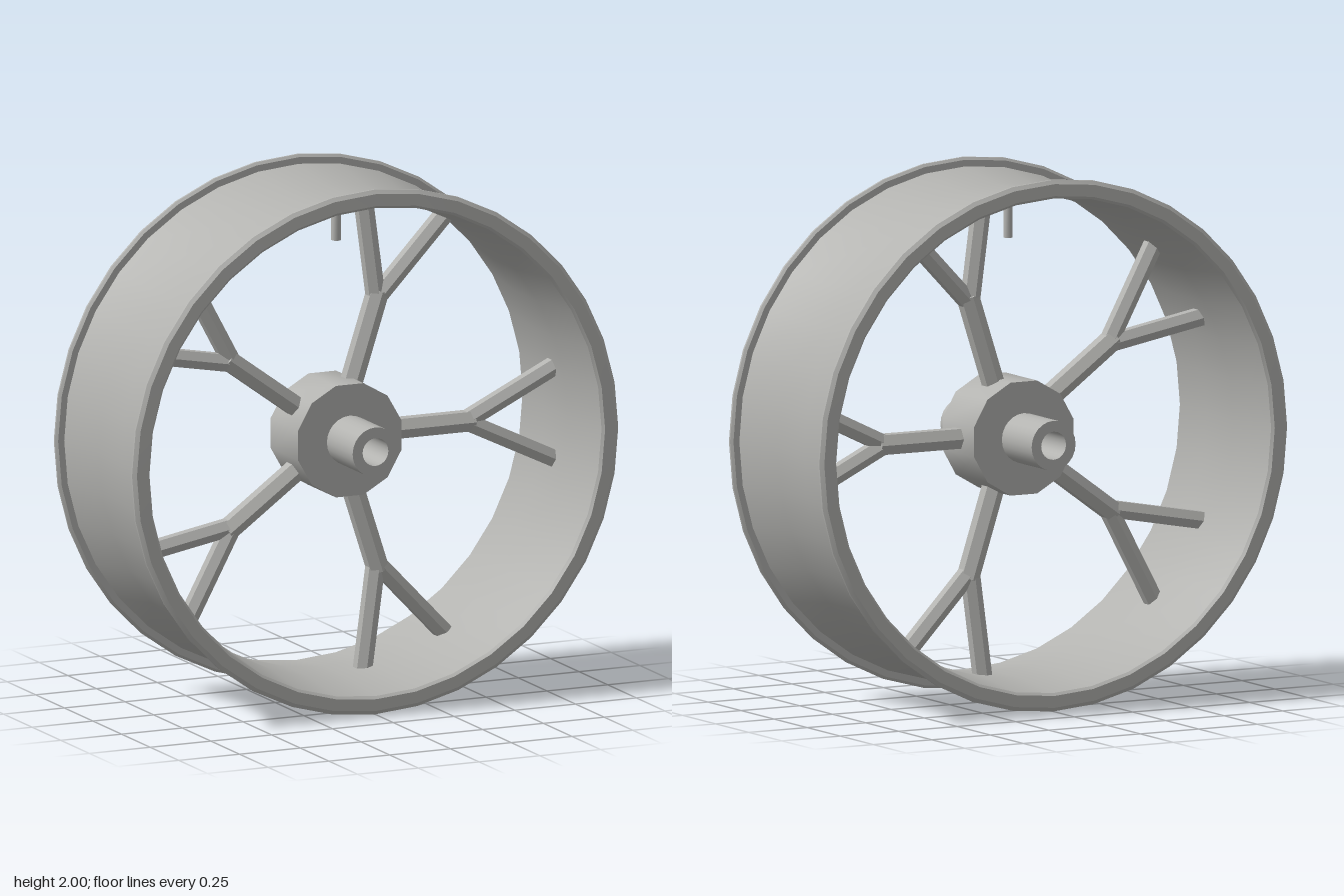
import * as THREE from 'three';
import { toCreasedNormals } from 'three/addons/utils/BufferGeometryUtils.js';

const metal = new THREE.MeshStandardMaterial({ color: 0xb3b3b0 });
metal.name = 'grey metal';

// Closed ring turned around the z axis from a counterclockwise (radius, z) profile
function ring(name, profile, sides, crease, start = 0) {
  const points = [...profile, profile[0]].map(([r, z]) => new THREE.Vector2(r, z));
  const geometry = new THREE.LatheGeometry(points, sides, start).rotateX(Math.PI / 2);
  const mesh = new THREE.Mesh(toCreasedNormals(geometry, crease), metal);
  mesh.name = name;
  return mesh;
}

// Straight bar between two points of the wheel plane, with an edge facing front
function bar(name, from, to, radius, sides) {
  const a = new THREE.Vector3(...from, 0);
  const b = new THREE.Vector3(...to, 0);
  const geometry = new THREE.CylinderGeometry(radius, radius, a.distanceTo(b), sides);
  const mesh = new THREE.Mesh(toCreasedNormals(geometry, 0.9), metal);
  mesh.position.copy(a).add(b).multiplyScalar(0.5);
  mesh.rotation.z = Math.atan2(b.y - a.y, b.x - a.x) - Math.PI / 2;
  mesh.name = name;
  return mesh;
}

export function createModel() {
  const model = new THREE.Group();
  model.name = 'wheel';
  const wheel = new THREE.Group();
  wheel.name = 'wheelBody';
  wheel.position.y = 1;
  model.add(wheel);

  // Rim: waisted barrel with a flange on each edge
  const outer = [[0.93, 0.1], [0.965, 0.325], [0.99, 0.325], [1, 0.333], [1, 0.342], [0.985, 0.353]];
  const inner = [[0.94, 0.355], [0.93, 0.345], [0.905, 0.1]];
  const half = [...outer, ...inner];
  const mirrored = half.map(([r, z]) => [r, -z]).reverse();
  wheel.add(ring('rim', [...half, ...mirrored], 36, 0.45));

  // Hub drum and hollow axle
  wheel.add(ring('hub', [[0.22, -0.12], [0.22, 0.12], [0.08, 0.12], [0.08, -0.12]], 12, 0.7, Math.PI / 12));
  wheel.add(ring('axle', [[0.094, -0.345], [0.094, 0.345], [0.053, 0.345], [0.053, -0.345]], 24, 0.7));

  // Five forked spokes
  const forkAngle = THREE.MathUtils.degToRad(11.2);
  for (let i = 0; i < 5; i++) {
    const spoke = new THREE.Group();
    spoke.name = 'spoke';
    spoke.rotation.z = (i * Math.PI * 2) / 5;
    spoke.add(bar('spokeStem', [0.17, 0], [0.56, 0], 0.043, 6));
    for (const side of [-1, 1]) {
      const tip = [0.917 * Math.cos(forkAngle), side * 0.917 * Math.sin(forkAngle)];
      spoke.add(bar('spokeBranch', [0.545, side * 0.008], tip, 0.037, 6));
    }
    wheel.add(spoke);
  }

  // Valve stem at the top of the rim
  wheel.add(bar('valve', [0, 0.74], [0, 0.915], 0.018, 10));
  return model;
}
